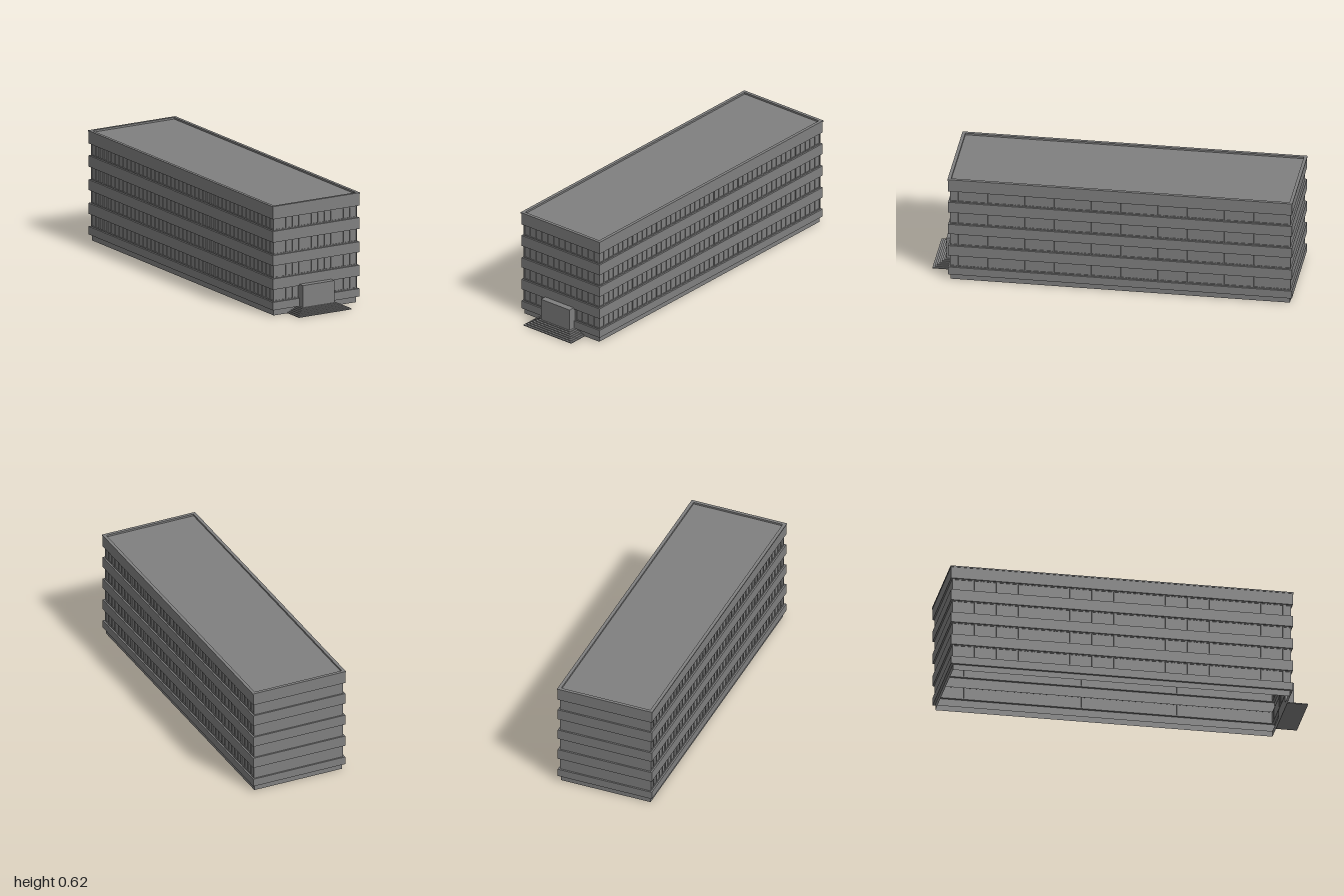
import * as THREE from 'three';

const HALF_W = 0.278, FRONT = 0.897, BACK = -0.997;
const RECESS = 0.009, FRAME_DEPTH = 0.005;
// bottom and top of each recessed window row
const ROWS = [[0.078, 0.149], [0.21, 0.283], [0.342, 0.415], [0.478, 0.546]];

// Rectangular rings lofted along a profile of [inset, height]
function ringWall(profile, material, name) {
  const pos = [];
  const ring = ([d, y]) => [
    [-HALF_W + d, y, FRONT - d], [HALF_W - d, y, FRONT - d],
    [HALF_W - d, y, BACK + d], [-HALF_W + d, y, BACK + d],
  ];
  for (let i = 0; i < profile.length - 1; i++) {
    const lo = ring(profile[i]), hi = ring(profile[i + 1]);
    for (let k = 0; k < 4; k++) {
      const n = (k + 1) % 4;
      pos.push(...lo[k], ...lo[n], ...hi[n], ...lo[k], ...hi[n], ...hi[k]);
    }
  }
  const geo = new THREE.BufferGeometry();
  geo.setAttribute('position', new THREE.Float32BufferAttribute(pos, 3));
  geo.computeVertexNormals();
  const mesh = new THREE.Mesh(geo, material);
  mesh.name = name;
  return mesh;
}

// A frame with evenly spaced openings and one pane sheet set inside it
function windowRow(length, y0, y1, count, material) {
  const group = new THREE.Group();
  group.name = 'windowRow';
  const h = length / 2, pitch = (length - 0.004) / count;
  const shape = new THREE.Shape([
    new THREE.Vector2(-h, y0), new THREE.Vector2(h, y0),
    new THREE.Vector2(h, y1), new THREE.Vector2(-h, y1),
  ]);
  for (let i = 0; i < count; i++) {
    const x = (i + 0.5 - count / 2) * pitch, w = 0.0172;
    shape.holes.push(new THREE.Path([
      new THREE.Vector2(x - w, y0 + 0.006), new THREE.Vector2(x - w, y1 - 0.004),
      new THREE.Vector2(x + w, y1 - 0.004), new THREE.Vector2(x + w, y0 + 0.006),
    ]));
  }
  const frame = new THREE.Mesh(
    new THREE.ExtrudeGeometry(shape, { depth: FRAME_DEPTH, bevelEnabled: false }), material);
  frame.name = 'windowFrame';
  frame.position.z = -FRAME_DEPTH;
  const panes = new THREE.Mesh(new THREE.PlaneGeometry(length - 0.004, y1 - y0), material);
  panes.name = 'windowPanes';
  panes.position.set(0, (y0 + y1) / 2, -FRAME_DEPTH * 0.8);
  group.add(frame, panes);
  return group;
}

function box(w, h, d, x, y, z, material, name) {
  const mesh = new THREE.Mesh(new THREE.BoxGeometry(w, h, d), material);
  mesh.position.set(x, y, z);
  mesh.name = name;
  return mesh;
}

export function createModel() {
  const model = new THREE.Group();
  model.name = 'officeBuilding';
  const concrete = new THREE.MeshStandardMaterial({ color: 0x808080, side: THREE.DoubleSide });
  concrete.name = 'concreteGrey';

  // Plinth and lowest band, open underneath
  model.add(ringWall([[0.013, 0], [0.013, 0.033], [0, 0.033], [0, 0.078], [RECESS, 0.078]],
    concrete, 'plinth'));

  // Projecting bands between the floors
  for (let i = 0; i < ROWS.length - 1; i++) {
    const y0 = ROWS[i][1], y1 = ROWS[i + 1][0];
    model.add(ringWall([[RECESS, y0], [0, y0], [0, y1], [RECESS, y1]], concrete, 'floorBand'));
  }

  // Top band with coping and parapet
  model.add(ringWall([[RECESS, 0.546], [0, 0.546], [0, 0.612], [-0.003, 0.612],
    [-0.003, 0.619], [0.015, 0.619], [0.015, 0.609]], concrete, 'parapet'));

  // Sunken flat roof
  const midZ = (FRONT + BACK) / 2, length = FRONT - BACK;
  const roof = new THREE.Mesh(
    new THREE.PlaneGeometry(2 * HALF_W - 0.03, length - 0.03).rotateX(-Math.PI / 2), concrete);
  roof.name = 'roof';
  roof.position.set(0, 0.609, midZ);
  model.add(roof);

  // Windows on the front and both long sides, blank wall at the back
  for (const [y0, y1] of ROWS) {
    const front = windowRow(2 * (HALF_W - RECESS), y0, y1, 13, concrete);
    front.position.z = FRONT - RECESS;
    model.add(front);
    for (const side of [1, -1]) {
      const row = windowRow(length - 2 * RECESS, y0, y1, 46, concrete);
      row.rotation.y = side * Math.PI / 2;
      row.position.set(side * (HALF_W - RECESS), 0, midZ);
      model.add(row);
    }
    const wall = new THREE.Mesh(
      new THREE.PlaneGeometry(2 * (HALF_W - RECESS), y1 - y0).rotateY(Math.PI), concrete);
    wall.name = 'backWall';
    wall.position.set(0, (y0 + y1) / 2, BACK + RECESS);
    model.add(wall);
  }

  // Entrance block
  const cx = -0.0065;
  model.add(box(0.203, 0.124, 0.048, cx, 0.095, 0.909, concrete, 'entrance'));

  // Entrance steps, narrowing on three sides
  const steps = 6, rise = 0.033 / steps;
  for (let i = 0; i < steps; i++) {
    const nose = 1 - i * 0.0115;
    model.add(box(0.338 - i * 0.0225, rise, nose - 0.884, cx, (i + 0.5) * rise,
      (nose + 0.884) / 2, concrete, 'step'));
  }
  return model;
}
